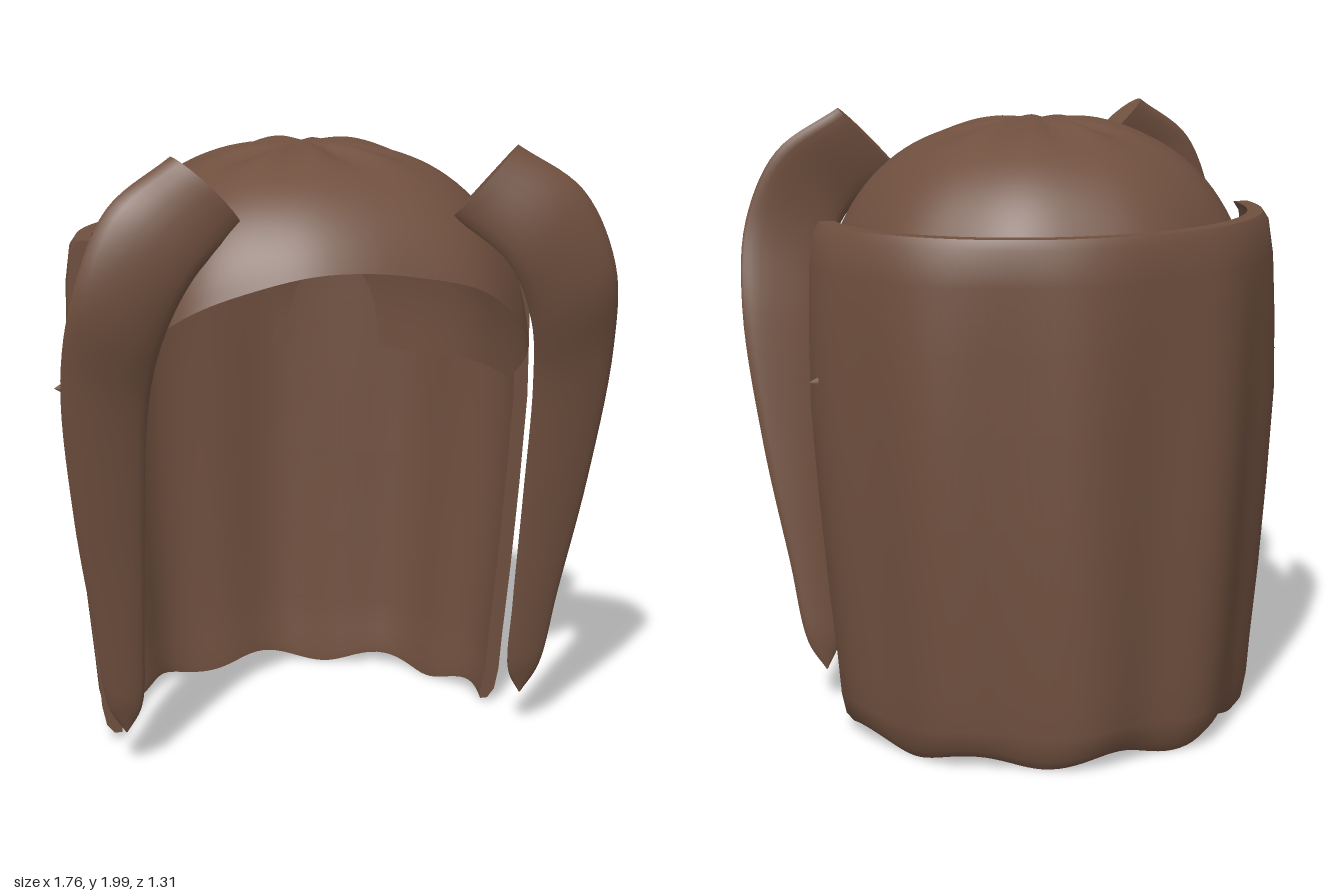
import * as THREE from 'three';
import { toCreasedNormals } from 'three/addons/utils/BufferGeometryUtils.js';

const hair = new THREE.MeshStandardMaterial({ color: 0x70503f, side: THREE.DoubleSide });
hair.name = 'brown hair';

// Skins rows of points; closed rows wrap round, caps close the first and last rows
function skin(name, rows, { closed = false, caps = false, crease = 0.9 } = {}) {
  const n = rows[0].length, pos = [], idx = [];
  rows.forEach(row => row.forEach(p => pos.push(p.x, p.y, p.z)));
  for (let i = 0; i < rows.length - 1; i++) {
    for (let j = 0; j < (closed ? n : n - 1); j++) {
      const a = i * n + j, b = i * n + (j + 1) % n;
      idx.push(a, b, a + n, b, b + n, a + n);
    }
  }
  if (caps) {
    const last = (rows.length - 1) * n;
    for (let j = 0; j < n / 2 - 1; j++) {
      const k = n - 1 - j;
      idx.push(j, k, j + 1, j + 1, k, k - 1);
      idx.push(last + j, last + j + 1, last + k, last + j + 1, last + k - 1, last + k);
    }
  }
  const g = new THREE.BufferGeometry();
  g.setAttribute('position', new THREE.Float32BufferAttribute(pos, 3));
  g.setIndex(idx);
  const mesh = new THREE.Mesh(toCreasedNormals(g, crease), hair);
  mesh.name = name;
  return mesh;
}

// Full, gathered dome with an opening that rises towards the face
function crown() {
  const rows = [], steps = 30, around = 120;
  const power = (v, e) => Math.sign(v) * Math.pow(Math.abs(v), e);
  const point = (a, phi) => {
    const isFront = Math.cos(phi) > 0;
    const depth = isFront ? 0.66 : 0.68, square = isFront ? 0.87 : 0.98;
    const s = power(Math.sin(a), 0.8), c = power(Math.max(0, Math.cos(a)), 0.8);
    const fold = Math.cos(9 * phi + 0.6) + 0.5 * Math.cos(5 * phi + 2);
    const r = s * (1 + 0.01 * fold * Math.sin(a));
    const pinch = 0.009 * (fold - 0.5) * Math.exp(-Math.pow((a - 0.2) / 0.2, 2)) * Math.min(1, a * 8);
    return new THREE.Vector3(
      -0.03 + 0.71 * r * power(Math.sin(phi), square),
      1.18 + 0.805 * c + pinch,
      0.07 + depth * r * power(Math.cos(phi), square));
  };
  const rimHeight = z => {
    const d = Math.max(0, z - 0.08);
    return 1.18 + 0.676 * d + 0.9 * Math.pow(d, 4);
  };
  for (let i = 0; i <= around; i++) {
    const phi = i / around * Math.PI * 2;
    let lo = 0.5, hi = Math.PI / 2;
    for (let k = 0; k < 24; k++) {
      const mid = (lo + hi) / 2, p = point(mid, phi);
      if (p.y > rimHeight(p.z)) lo = mid; else hi = mid;
    }
    const row = [];
    for (let j = 0; j <= steps; j++) row.push(point(lo * Math.pow(j / steps, 1.2), phi));
    rows.push(row);
  }
  return skin('crown', rows, { crease: 1.2 });
}

// Half-round curtain with soft vertical waves and a scalloped hem
function backCurtain() {
  // height, half width, depth
  const profile = [[1.69, 0.735, 0.625], [1.66, 0.755, 0.64], [1.55, 0.77, 0.65], [1.35, 0.775, 0.655],
    [1.1, 0.775, 0.657], [0.8, 0.755, 0.657], [0.5, 0.73, 0.655], [0.25, 0.705, 0.645],
    [0.13, 0.695, 0.64], [0.06, 0.68, 0.63], [0.03, 0.66, 0.61]];
  const loop = [...profile.map(p => [...p, 0]), ...profile.map(p => [...p, 0.05]).reverse()];
  loop[profile.length - 1][3] = 0.005;
  loop[profile.length][3] = 0.03;
  const rows = [], around = 80;
  for (let i = 0; i <= around; i++) {
    const t = i / around * Math.PI;
    const ridge = Math.cos(9.5 * (t - 1.68)), scallop = Math.cos(9 * (t - 1.54));
    rows.push(loop.map(([y, w, d, inset]) => {
      const waving = THREE.MathUtils.clamp((1.69 - y) / 0.5, 0, 1);
      const off = 0.02 * ridge * waving * Math.sqrt(Math.sin(t) + 1e-9) - inset;
      const hem = 0.02 * scallop * Math.max(0, 1 - (y - 0.03) / 0.2);
      return new THREE.Vector3(
        -0.015 - (w + off) * Math.cos(t), y + hem, 0.02 - (d + off) * Math.sin(t));
    }));
  }
  return skin('backCurtain', rows, { closed: true, caps: true, crease: 0.8 });
}

// Curved front lock, blunt at the parting and pointed at the end
function frontLock(side) {
  const curve = pts => new THREE.CatmullRomCurve3(pts.map(p => new THREE.Vector3(...p)));
  const outer = curve([[0.54, 2.0, 0.455], [0.74, 1.86, 0.5], [0.845, 1.63, 0.52], [0.88, 1.35, 0.45],
    [0.84, 0.9, 0.37], [0.775, 0.5, 0.305], [0.73, 0.23, 0.265], [0.672, 0.13, 0.25]]);
  const inner = curve([[0.33, 1.79, 0.465], [0.49, 1.65, 0.53], [0.58, 1.46, 0.5], [0.615, 1.25, 0.44],
    [0.62, 0.85, 0.365], [0.617, 0.47, 0.305], [0.622, 0.22, 0.265], [0.668, 0.13, 0.25]]);
  const rows = [], steps = 49, n = 20;
  for (let i = 0; i <= steps; i++) {
    const t = i / steps, a = outer.getPoint(t), b = inner.getPoint(t);
    const centre = a.clone().add(b).multiplyScalar(0.5);
    const half = a.clone().sub(b).multiplyScalar(0.5);
    const along = outer.getTangent(t).add(inner.getTangent(t));
    const normal = half.clone().cross(along).normalize();
    if (normal.z < 0) normal.negate();
    const taper = Math.min(1, (1 - t) * 6);
    const thick = THREE.MathUtils.lerp(0.042, 0.014, t) * taper;
    const bulge = 0.02 * Math.max(0, 1 - t * 1.6);
    const row = [];
    for (let j = 0; j < n; j++) {
      const u = j / n * Math.PI * 2, s = Math.sin(u);
      const p = centre.clone().addScaledVector(half, Math.cos(u))
        .addScaledVector(normal, thick * s + bulge * s * s);
      p.x *= side;
      row.push(p);
    }
    rows.push(row);
  }
  return skin(side > 0 ? 'leftFrontLock' : 'rightFrontLock', rows, { closed: true, caps: true });
}

// Small stray tip poking out of each side of the curtain
function strayTip(side) {
  const mesh = new THREE.Mesh(new THREE.ConeGeometry(0.035, 0.08, 6), hair);
  mesh.name = side > 0 ? 'leftStrayTip' : 'rightStrayTip';
  mesh.position.set(side * 0.765 - 0.02, 1.2, -0.07);
  mesh.rotation.z = -side * Math.PI / 2;
  mesh.scale.x = 1.4;
  return mesh;
}

export function createModel() {
  const model = new THREE.Group();
  model.name = 'hair';
  model.add(crown(), backCurtain());
  for (const side of [-1, 1]) model.add(frontLock(side), strayTip(side));
  return model;
}
